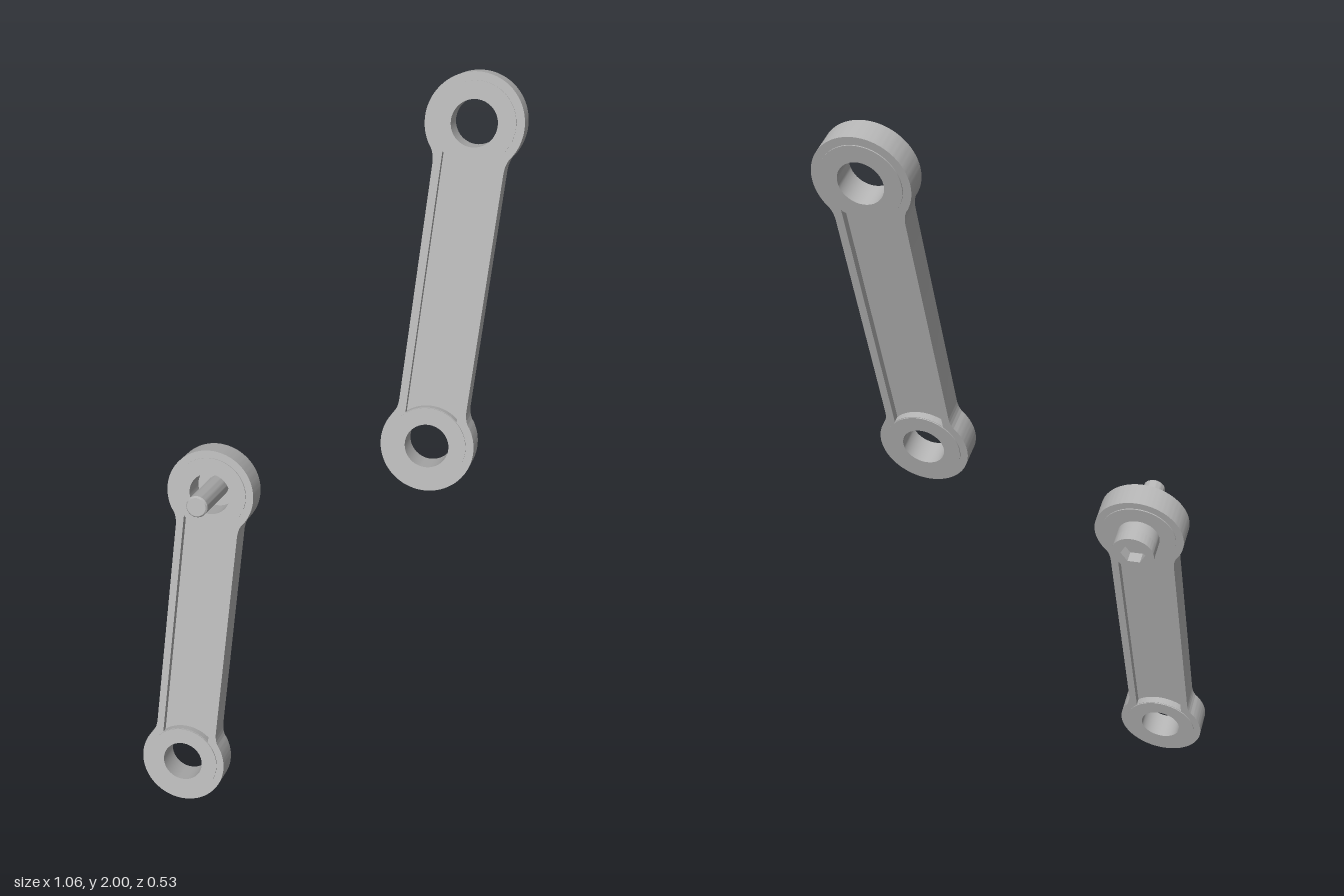
import * as THREE from 'three';
import { toCreasedNormals } from 'three/addons/utils/BufferGeometryUtils.js';

const steel = new THREE.MeshStandardMaterial({ color: 0xb4b4b4 });
steel.name = 'steel grey';

// Shared link dimensions; a link lies along y with its bores along z
const H = 0.403, R = 0.119, COLLAR = 0.1, BORE = 0.056, BODY = 0.0345, FACE = 0.0375;
const BAR = 0.086, RECESS = 0.066, WEB = 0.015;

function mesh(name, geometry) {
  const m = new THREE.Mesh(toCreasedNormals(geometry, 0.6), steel);
  m.name = name;
  return m;
}

// Extrusion between two z levels
function slab(shape, z0, z1) {
  return new THREE.ExtrudeGeometry(shape, { depth: z1 - z0, bevelEnabled: false, curveSegments: 40 })
    .translate(0, 0, z0);
}

// Solid of revolution about z from [radius, z] points, outer side rising in z
function turned(points) {
  return new THREE.LatheGeometry(points.map(p => new THREE.Vector2(p[0], p[1])), 48)
    .rotateX(Math.PI / 2);
}

function circle(y, r) {
  return new THREE.Path().absarc(0, y, r, 0, Math.PI * 2, true);
}

function createLink() {
  const link = new THREE.Group();
  const PI = Math.PI, a = Math.atan2(0.0645, 0.1);

  // Body: two round ends blended into a bar
  const outline = new THREE.Shape();
  outline.absarc(0, H, R, -a, PI + a, false);
  outline.quadraticCurveTo(-BAR, H - 0.08, -BAR, H - 0.11);
  outline.lineTo(-BAR, -H + 0.11);
  outline.quadraticCurveTo(-BAR, -H + 0.08, -R * Math.cos(a), -H + R * Math.sin(a));
  outline.absarc(0, -H, R, PI - a, 2 * PI + a, false);
  outline.quadraticCurveTo(BAR, -H + 0.08, BAR, -H + 0.11);
  outline.lineTo(BAR, H - 0.11);
  outline.quadraticCurveTo(BAR, H - 0.08, R * Math.cos(a), H - R * Math.sin(a));

  // Long pocket whose ends follow the collars
  const f = Math.asin(RECESS / COLLAR);
  const pocket = new THREE.Path();
  pocket.absarc(0, H, COLLAR, -PI / 2 + f, -PI / 2 - f, true);
  pocket.absarc(0, -H, COLLAR, PI / 2 + f, PI / 2 - f, true);
  pocket.closePath();
  outline.holes.push(pocket, circle(H, BORE + 0.002), circle(-H, BORE + 0.002));
  link.add(mesh('linkBody', slab(outline, -BODY, BODY)));

  // Thin web closing the pocket
  link.add(mesh('web', new THREE.BoxGeometry(RECESS * 2 + 0.01, 2 * (H - 0.072), WEB * 2)));

  // Slightly raised collars lining the bores
  for (const s of [1, -1]) {
    const r = COLLAR - 0.001;
    const collar = mesh(s > 0 ? 'upperCollar' : 'lowerCollar', turned([
      [BORE, -FACE], [r, -FACE], [r, FACE], [BORE, FACE], [BORE, -FACE]]));
    collar.position.y = s * H;
    link.add(collar);
  }
  return link;
}

// Socket-head screw, head towards -z
function createScrew() {
  const screw = new THREE.Group();
  screw.name = 'screw';
  const rim = new THREE.Shape().absarc(0, 0, BORE, 0, Math.PI * 2, false);
  const hex = new THREE.Path();
  hex.setFromPoints([0, 1, 2, 3, 4, 5].map(i =>
    new THREE.Vector2(0.033 * Math.cos(-i * Math.PI / 3), 0.033 * Math.sin(-i * Math.PI / 3))));
  hex.closePath();
  rim.holes.push(hex);
  screw.add(mesh('headSocket', slab(rim, -0.101, -0.07)));
  screw.add(mesh('headBase', turned([[0, -0.07], [BORE, -0.07], [BORE, -0.036], [0, -0.036]])));
  screw.add(mesh('shaft', turned([[0, -0.04], [0.029, -0.04], [0.029, 0.143], [0.025, 0.148], [0, 0.148]])));
  return screw;
}

export function createModel() {
  const model = new THREE.Group();

  // Tilted frame shared by both links: y along the bar, z along the bores
  const along = new THREE.Vector3(0.18, 0.77, -0.158).normalize();
  const across = new THREE.Vector3().crossVectors(along, new THREE.Vector3(-0.622, 0.295, 0.722)).normalize();
  const normal = new THREE.Vector3().crossVectors(across, along);
  const tilt = new THREE.Quaternion().setFromRotationMatrix(
    new THREE.Matrix4().makeBasis(across, along, normal));

  const upper = createLink();
  upper.name = 'upperLink';
  upper.position.set(0.322, 1.49, 0.079);

  const lower = createLink();
  lower.name = 'lowerLink';
  lower.position.set(-0.327, 0.51, -0.079);
  const screw = createScrew();
  screw.position.y = H;
  lower.add(screw);

  for (const link of [upper, lower]) {
    link.quaternion.copy(tilt);
    model.add(link);
  }
  return model;
}
